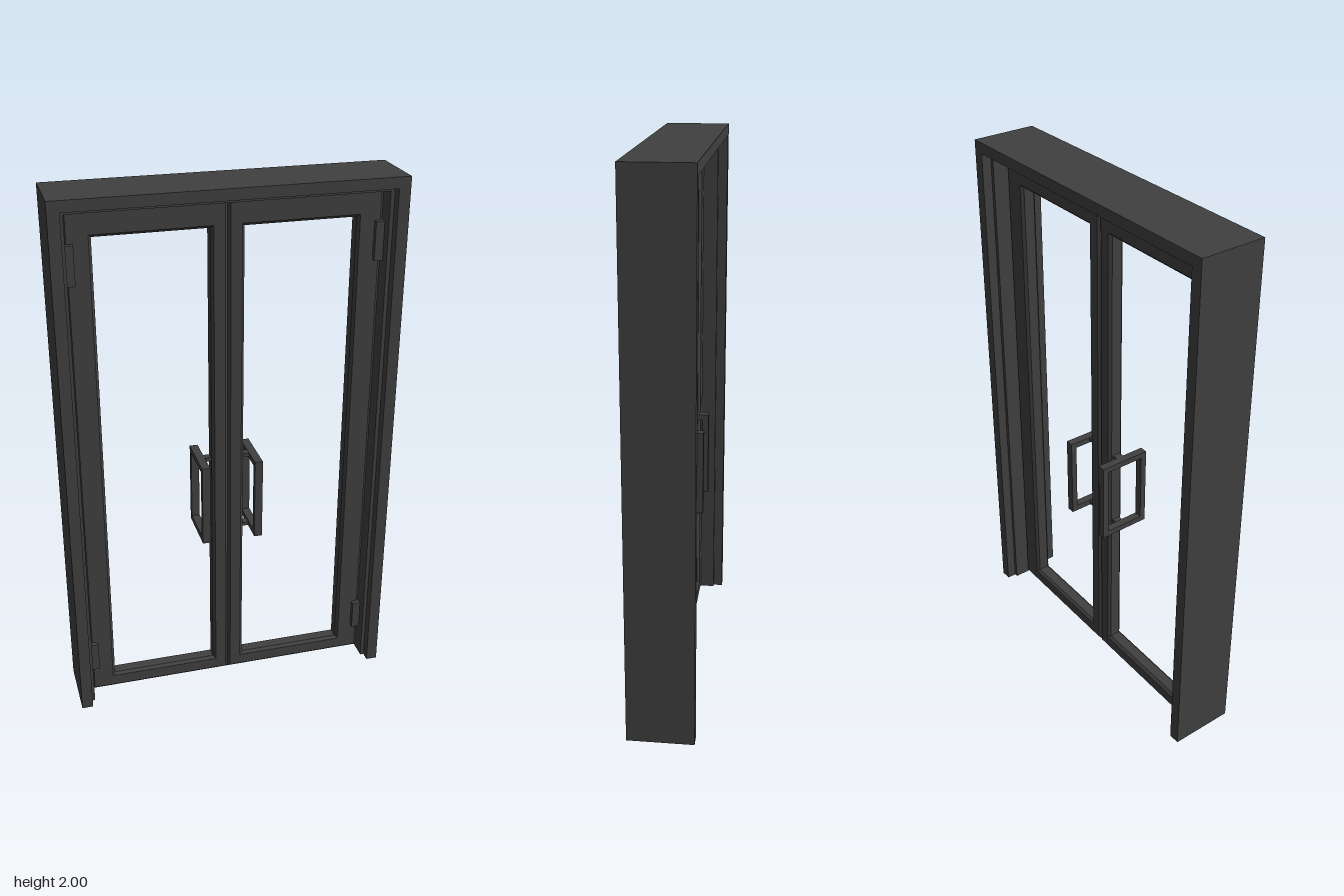
import * as THREE from 'three';

const metal = new THREE.MeshStandardMaterial({ color: 0x404040 });
metal.name = 'charcoal metal';

// Box given by its minimum and maximum corners
function box(parent, name, min, max) {
  const size = max.map((v, i) => v - min[i]);
  const mesh = new THREE.Mesh(new THREE.BoxGeometry(...size), metal);
  mesh.position.set(...max.map((v, i) => (v + min[i]) / 2));
  mesh.name = name;
  parent.add(mesh);
  return mesh;
}

function rect(target, x0, y0, x1, y1) {
  target.moveTo(x0, y0).lineTo(x1, y0).lineTo(x1, y1).lineTo(x0, y1).closePath();
  return target;
}

// Upside-down U of constant depth: two jambs and a header
function portal(name, outerX, outerY, innerX, innerY, depth) {
  const s = new THREE.Shape();
  s.moveTo(-outerX, 0).lineTo(-innerX, 0).lineTo(-innerX, innerY).lineTo(innerX, innerY)
    .lineTo(innerX, 0).lineTo(outerX, 0).lineTo(outerX, outerY).lineTo(-outerX, outerY).closePath();
  const geo = new THREE.ExtrudeGeometry(s, { depth, bevelEnabled: false });
  geo.translate(0, 0, -depth / 2);
  const mesh = new THREE.Mesh(geo, metal);
  mesh.name = name;
  return mesh;
}

// Door leaf: stiles and rails around an open panel, with chamfered edges
function doorLeaf(side) {
  const x0 = side > 0 ? 0 : -0.556, x1 = side > 0 ? 0.556 : 0;
  const h0 = side > 0 ? 0.06 : -0.462, h1 = side > 0 ? 0.462 : -0.06;
  const s = rect(new THREE.Shape(), x0, 0.008, x1, 1.944);
  s.holes.push(rect(new THREE.Path(), h0, 0.07, h1, 1.846));
  const b = 0.01;
  const geo = new THREE.ExtrudeGeometry(s, {
    depth: 0.04, bevelEnabled: true, bevelSegments: 1, bevelSize: b, bevelThickness: b, bevelOffset: -b,
  });
  geo.translate(0, 0, -0.02);
  const mesh = new THREE.Mesh(geo, metal);
  mesh.name = 'doorLeaf';
  return mesh;
}

// Pull handle: a loop passing from the front to the back beside the centre stile
function handle(side) {
  const g = new THREE.Group();
  g.name = 'handle';
  const xa = side > 0 ? 0.085 : -0.115, xb = xa + 0.03;
  const s = rect(new THREE.Shape(), -0.098, 0.66, 0.098, 0.976);
  s.holes.push(rect(new THREE.Path(), -0.076, 0.682, 0.076, 0.954));
  const geo = new THREE.ExtrudeGeometry(s, { depth: 0.03, bevelEnabled: false });
  geo.rotateY(-Math.PI / 2);
  geo.translate(xb, 0, 0);
  const loop = new THREE.Mesh(geo, metal);
  loop.name = 'handleLoop';
  g.add(loop);
  // Small brackets joining the loop to the stile
  const ba = side > 0 ? 0.05 : -0.09;
  for (const y of [0.662, 0.96]) box(g, 'handleBracket', [ba, y, -0.015], [ba + 0.04, y + 0.014, 0.015]);
  return g;
}

export function createModel() {
  const model = new THREE.Group();
  model.name = 'doubleDoor';

  // Outer casing and the stepped stop inside it
  model.add(portal('frame', 0.612, 2, 0.57, 1.96, 0.242));
  model.add(portal('frameStop', 0.572, 1.962, 0.556, 1.944, 0.17));

  for (const side of [-1, 1]) {
    const door = new THREE.Group();
    door.name = side > 0 ? 'leftDoor' : 'rightDoor';
    door.add(doorLeaf(side), handle(side));
    // Hinges on the front of the outer stile
    const hx = side > 0 ? 0.525 : -0.557;
    for (const [y0, y1] of [[0.12, 0.235], [1.69, 1.83]]) {
      box(door, 'hinge', [hx, y0, 0.025], [hx + 0.032, y1, 0.048]);
    }
    model.add(door);
  }
  return model;
}
